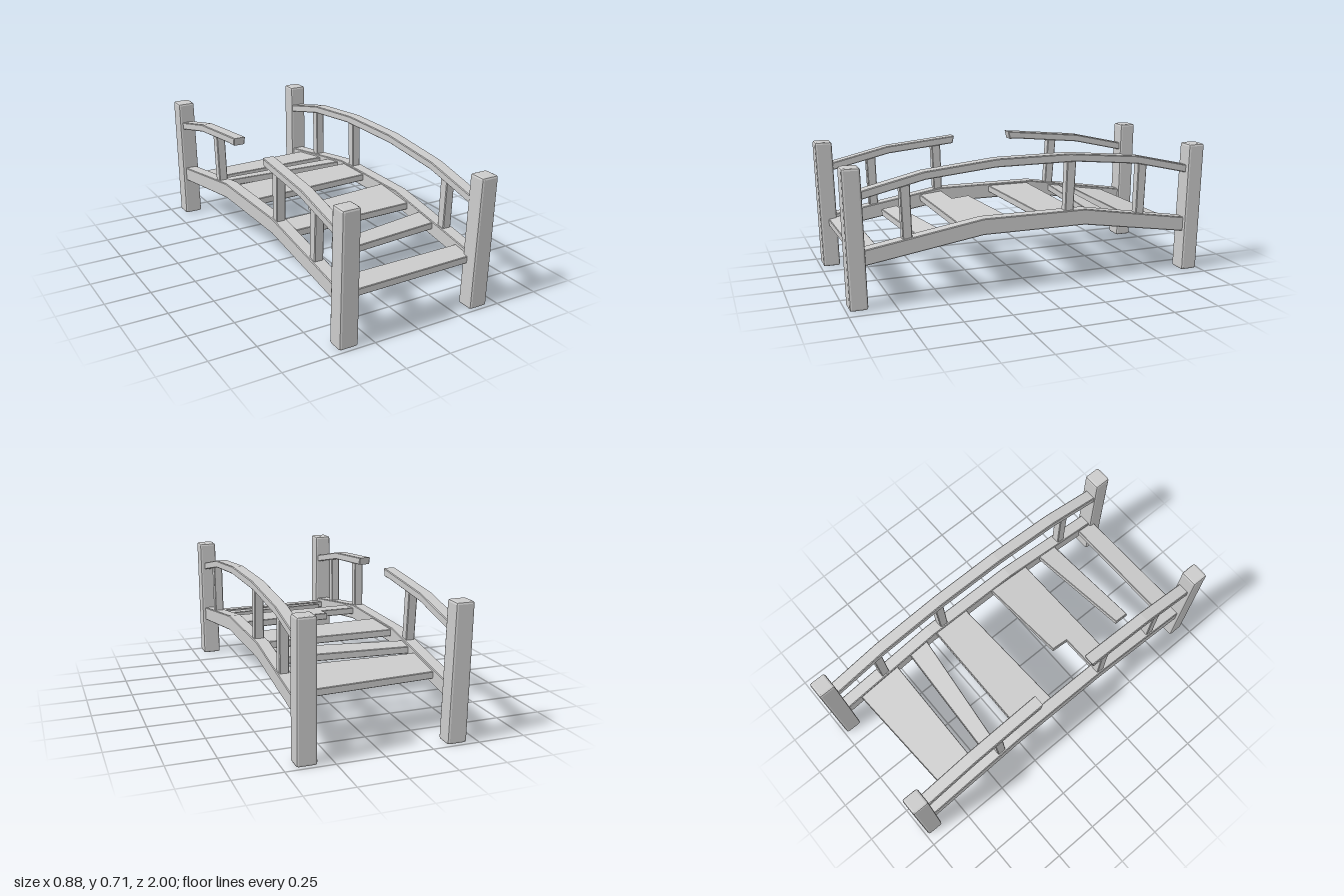
import * as THREE from 'three';
import { RoundedBoxGeometry } from 'three/addons/geometries/RoundedBoxGeometry.js';

const material = new THREE.MeshStandardMaterial({ color: 0xcccccc, flatShading: true });
const SIDE_X = 0.385;

// Extrudes a 2D outline to the given total thickness, centred, with a small chamfer
function slab(points, thickness, chamfer) {
  const shape = new THREE.Shape(points.map(([a, b]) => new THREE.Vector2(a, b)));
  const geo = new THREE.ExtrudeGeometry(shape, {
    depth: thickness - 2 * chamfer, bevelEnabled: true, bevelSegments: 1,
    bevelSize: chamfer, bevelThickness: chamfer, bevelOffset: -chamfer,
  });
  return geo.translate(0, 0, chamfer - thickness / 2);
}

// Moves every vertex of a geometry by a rule
function warp(geo, rule) {
  const pos = geo.attributes.position;
  const v = new THREE.Vector3();
  for (let i = 0; i < pos.count; i++) {
    rule(v.fromBufferAttribute(pos, i));
    pos.setXYZ(i, v.x, v.y, v.z);
  }
  geo.computeVertexNormals();
  return geo;
}

export function createModel() {
  const model = new THREE.Group();
  const add = (name, geo, x = 0, y = 0, z = 0) => {
    const mesh = new THREE.Mesh(geo, material);
    mesh.name = name;
    mesh.position.set(x, y, z);
    model.add(mesh);
  };
  // Side profile in (z, y), given width in x
  const sideBar = (name, points, width, x) =>
    add(name, slab(points, width, 0.004).rotateY(-Math.PI / 2), x);

  // Corner posts, feet leaning slightly towards the middle
  for (const sx of [-1, 1]) {
    for (const sz of [-1, 1]) {
      const geo = new RoundedBoxGeometry(0.098, 0.715, 0.094, 1, 0.012);
      warp(geo, (v) => {
        const low = 0.5 - v.y / 0.715;
        v.z -= sz * 0.014 * low;
        if (v.x * sx < 0) v.x -= sx * 0.007 * low;
      });
      add('cornerPost', geo, sx * 0.39, 0.36, sz * 0.951);
    }
  }

  // Arched beams under the deck
  const beam = [
    [0.93, 0.22], [0.28, 0.32], [-0.29, 0.32], [-0.93, 0.22],
    [-0.93, 0.30], [-0.29, 0.405], [0.28, 0.405], [0.93, 0.30],
  ];
  for (const sx of [-1, 1]) sideBar('sideBeam', beam, 0.07, sx * SIDE_X);

  // Handrails: whole on one side, broken in the middle on the other
  sideBar('handrail', [
    [0.93, 0.55], [0.58, 0.63], [0.21, 0.665], [-0.23, 0.665], [-0.6, 0.628], [-0.93, 0.552],
    [-0.93, 0.595], [-0.6, 0.67], [-0.2, 0.708], [0.2, 0.708], [0.59, 0.67], [0.93, 0.592],
  ], 0.066, 0.381);
  sideBar('brokenHandrailFront', [
    [0.93, 0.55], [0.58, 0.63], [0.2, 0.666], [0.19, 0.708], [0.59, 0.67], [0.93, 0.592],
  ], 0.066, -0.388);
  sideBar('brokenHandrailBack', [
    [-0.93, 0.552], [-0.6, 0.628], [-0.23, 0.667], [-0.16, 0.67], [-0.15, 0.714],
    [-0.22, 0.708], [-0.6, 0.67], [-0.93, 0.595],
  ], 0.066, -0.388);

  // Balusters: [side, foot z, head z, foot y, head y]
  const balusters = [
    [1, 0.676, 0.685, 0.31, 0.625], [1, -0.2, -0.211, 0.38, 0.68], [1, -0.624, -0.633, 0.31, 0.64],
    [-1, 0.676, 0.685, 0.31, 0.625], [-1, 0.292, 0.3, 0.37, 0.67], [-1, -0.416, -0.438, 0.35, 0.66],
  ];
  for (const [sx, z0, z1, y0, y1] of balusters) {
    sideBar('baluster', [
      [z0 - 0.024, y0], [z0 + 0.024, y0], [z1 + 0.026, y1], [z1 - 0.026, y1],
    ], 0.05, sx * SIDE_X);
  }

  // Deck planks: outline in (x, z), centre height at z0, slope against z
  const planks = [
    { z0: -0.67, y: 0.31, slope: -0.16,
      outline: [[-0.36, -0.775], [0.36, -0.81], [0.36, -0.55], [-0.36, -0.56]] },
    { z0: -0.42, y: 0.352, slope: -0.16,
      outline: [[-0.36, -0.49], [0.36, -0.455], [0.36, -0.335], [-0.36, -0.412]] },
    { z0: -0.15, y: 0.376, slope: 0,
      outline: [[-0.36, -0.27], [0.36, -0.265], [0.36, -0.05], [-0.36, -0.02]] },
    { z0: 0.3, y: 0.365, slope: 0.1,
      outline: [[-0.36, 0.275], [-0.15, 0.272], [-0.145, 0.175], [0.36, 0.138], [0.36, 0.395], [-0.36, 0.405]] },
    { z0: 0.59, y: 0.329, slope: 0.16,
      outline: [[-0.24, 0.575], [0.36, 0.5], [0.36, 0.62], [-0.24, 0.66]] },
    { z0: 0.88, y: 0.27, slope: 0.16,
      outline: [[-0.36, 0.822], [0.36, 0.817], [0.36, 0.93], [-0.36, 0.942]] },
  ];
  for (const { z0, y, slope, outline } of planks) {
    const geo = slab(outline.map(([x, z]) => [x, -z]), 0.038, 0.003).rotateX(-Math.PI / 2);
    add('deckPlank', warp(geo, (v) => { v.y += y - slope * (v.z - z0); }));
  }
  return model;
}
